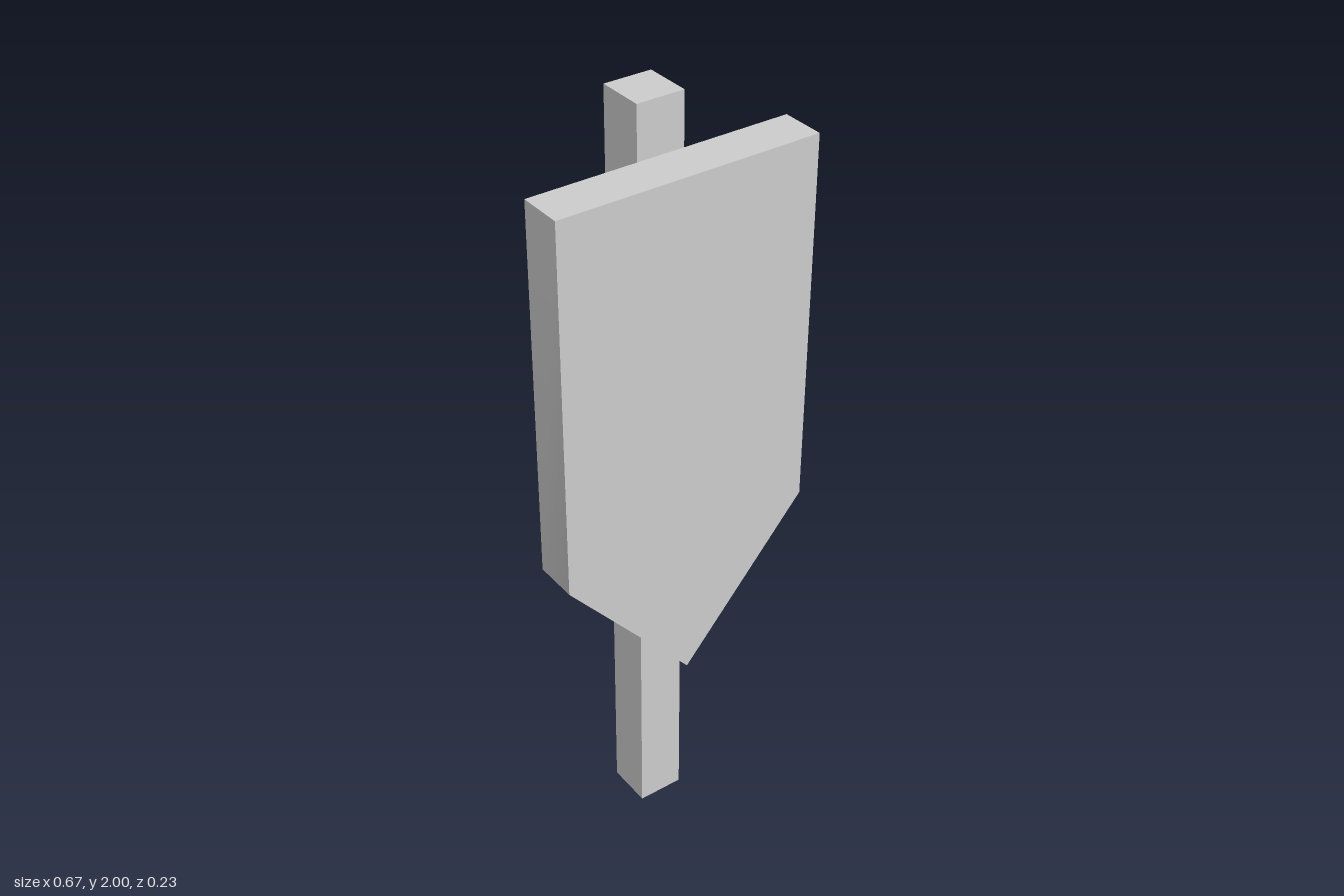
import * as THREE from 'three';
import { toCreasedNormals } from 'three/addons/utils/BufferGeometryUtils.js';

export function createModel() {
  const group = new THREE.Group();
  const material = new THREE.MeshStandardMaterial({ color: 0xcccccc });

  // Square upright post behind the board
  const post = new THREE.Mesh(new THREE.BoxGeometry(0.12, 2, 0.119), material);
  post.name = 'post';
  post.position.set(0, 1, -0.0565);
  group.add(post);

  // Board with a straight top and a pointed lower end
  const outline = new THREE.Shape([
    [0, 0.53], [0.333, 0.92], [0.333, 1.87], [-0.333, 1.87], [-0.333, 0.92],
  ].map(([x, y]) => new THREE.Vector2(x, y)));
  const boardGeometry = new THREE.ExtrudeGeometry(outline, { depth: 0.112, bevelEnabled: false });
  // The shallow bend between side and slope is shaded smoothly
  const board = new THREE.Mesh(toCreasedNormals(boardGeometry, THREE.MathUtils.degToRad(45)), material);
  board.name = 'pointedBoard';
  board.position.z = 0.003;
  group.add(board);

  return group;
}
